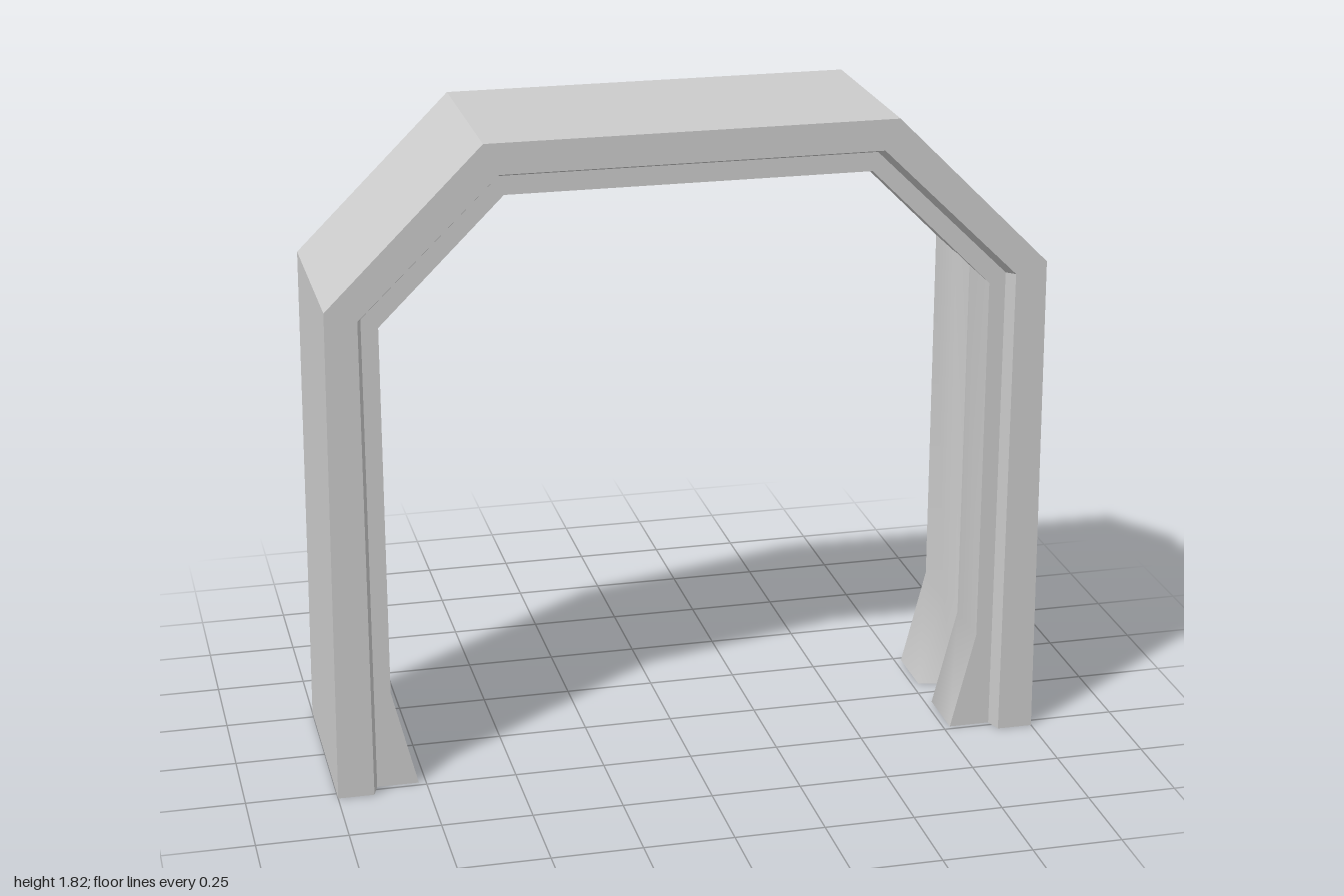
import * as THREE from 'three';
import { mergeGeometries } from 'three/addons/utils/BufferGeometryUtils.js';

// Half outlines of the arch, one per depth layer: foot, flare top, knee, shoulder
const LAYERS = {
  outer: [[1, 0], [0.997, 0.28], [0.987, 1.395], [0.56, 1.82]],
  rim: [[0.9, 0], [0.9, 0.28], [0.9, 1.365], [0.52, 1.735]],
  step: [[0.886, 0], [0.886, 0.28], [0.886, 1.357], [0.514, 1.72]],
  floor: [[0.87, 0], [0.876, 0.28], [0.876, 1.35], [0.51, 1.71]],
  inner: [[0.77, 0], [0.84, 0.28], [0.84, 1.33], [0.5, 1.668]],
};

// Cross-section runs [layer, z]; smooth within a run, sharp between runs
const RUNS = [
  [['outer', 0.28], ['rim', 0.28]],
  [['rim', 0.28], ['step', 0.235]],
  [['step', 0.235], ['inner', 0.235]],
  // two flanges with the groove between them
  [['inner', 0.235], ['inner', 0.065], ['floor', 0.04],
    ['floor', -0.04], ['inner', -0.065], ['inner', -0.235]],
  [['inner', -0.235], ['step', -0.235]],
  [['step', -0.235], ['rim', -0.28]],
  [['rim', -0.28], ['outer', -0.28]],
  [['outer', -0.28], ['outer', 0.28]],
];

// Stations 0-3 climb the +x side, 4-7 descend the mirrored side
function pointAt(layer, station, z) {
  const mirrored = station > 3;
  const [x, y] = LAYERS[layer][mirrored ? 7 - station : station];
  return [mirrored ? -x : x, y, z];
}

// Surface of one run swept along the given stations
function sweepRun(run, stations) {
  const n = run.length, pos = [], index = [];
  for (const s of stations) for (const [layer, z] of run) pos.push(...pointAt(layer, s, z));
  for (let r = 0; r < stations.length - 1; r++) {
    for (let i = 0; i < n - 1; i++) {
      const a = r * n + i, b = a + n;
      index.push(a, b, b + 1, a, b + 1, a + 1);
    }
  }
  const g = new THREE.BufferGeometry();
  g.setAttribute('position', new THREE.Float32BufferAttribute(pos, 3));
  g.setIndex(index);
  g.computeVertexNormals();
  return g;
}

// Flat underside of a leg
function footCap(station) {
  const outline = RUNS.flatMap((run) => run.slice(0, -1)).map(([layer, z]) =>
    new THREE.Vector2(pointAt(layer, station, z)[0], z));
  const g = new THREE.ShapeGeometry(new THREE.Shape(outline));
  g.rotateX(Math.PI / 2);
  g.deleteAttribute('uv');
  return g;
}

export function createModel() {
  const group = new THREE.Group();
  group.name = 'archway';
  const material = new THREE.MeshStandardMaterial({ color: 0xcccccc });

  const sections = [
    { name: 'leftLeg', stations: [0, 1, 2], foot: 0 },
    { name: 'leftShoulder', stations: [2, 3] },
    { name: 'topBeam', stations: [3, 4] },
    { name: 'rightShoulder', stations: [4, 5] },
    { name: 'rightLeg', stations: [5, 6, 7], foot: 7 },
  ];
  for (const { name, stations, foot } of sections) {
    const parts = RUNS.map((run) => sweepRun(run, stations));
    if (foot !== undefined) parts.push(footCap(foot));
    const mesh = new THREE.Mesh(mergeGeometries(parts), material);
    mesh.name = name;
    group.add(mesh);
  }
  return group;
}
